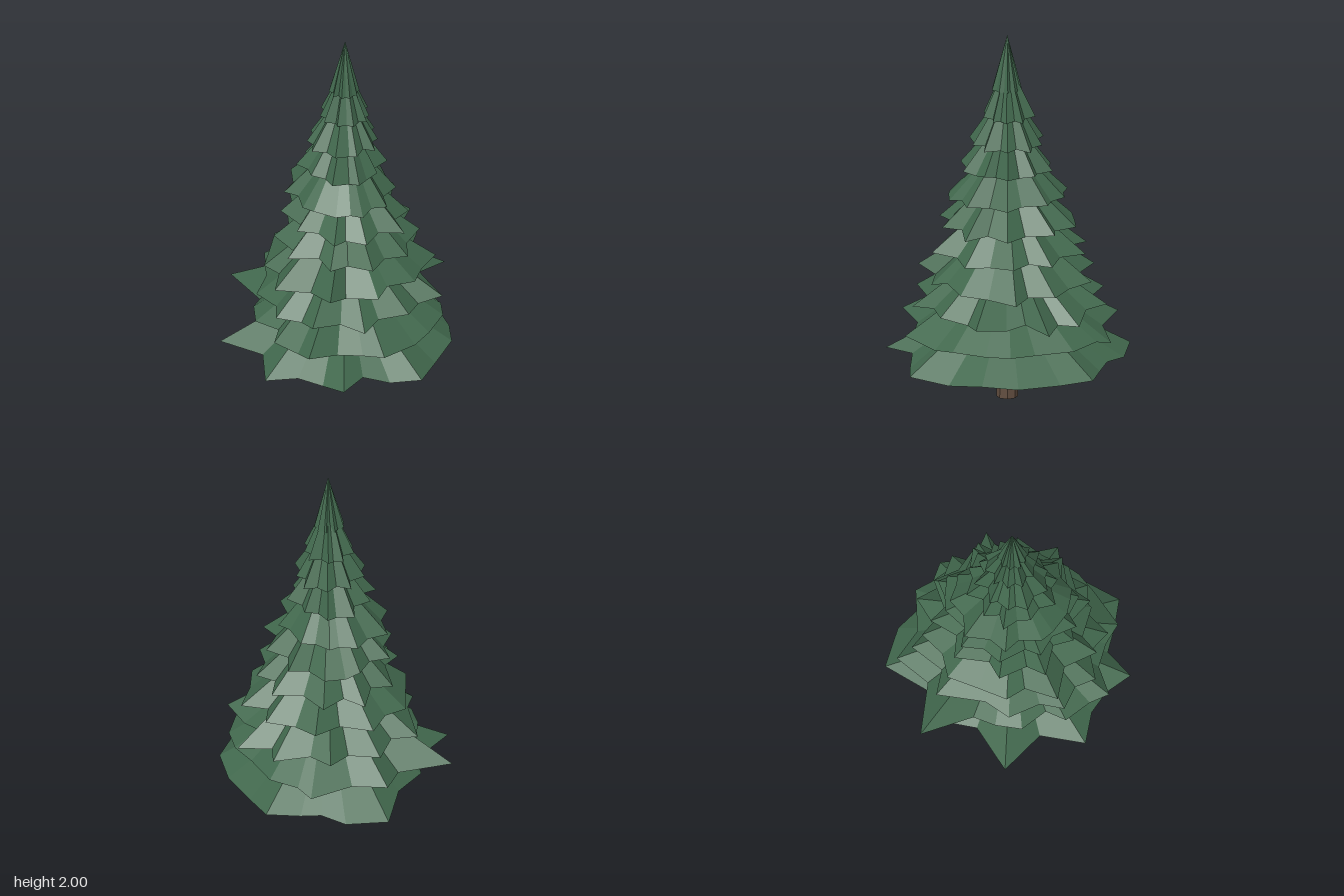
import * as THREE from 'three';

const CX = 0.055, CZ = 0.005;

// Small seeded random generator
function seeded(seed) {
  let s = seed;
  return () => (s = (s * 16807) % 2147483647) / 2147483647;
}

// Ragged outlines [x, z] of the three widest tiers
const LOW_TIERS = [
  [[0.495, -0.43], [0.54, -0.26], [0.6, -0.04], [0.6, 0.15], [0.5, 0.32], [0.415, 0.52], [0.25, 0.515],
    [0.11, 0.5], [0, 0.635], [-0.1, 0.52], [-0.225, 0.46], [-0.395, 0.45], [-0.39, 0.21], [-0.6, 0.055],
    [-0.39, -0.12], [-0.38, -0.25], [-0.22, -0.41], [-0.11, -0.638], [0.11, -0.6], [0.22, -0.51], [0.32, -0.47]],
  [[-0.51, -0.4], [-0.22, -0.4], [-0.12, -0.575], [0.05, -0.49], [0.28, -0.53], [0.33, -0.45], [0.45, -0.33],
    [0.5, -0.13], [0.555, 0], [0.555, 0.13], [0.47, 0.3], [0.39, 0.39], [0.22, 0.54], [0.11, 0.49],
    [-0.02, 0.47], [-0.175, 0.545], [-0.225, 0.45], [-0.34, 0.34], [-0.31, 0.23], [-0.42, 0.12],
    [-0.42, -0.02], [-0.38, -0.14]],
  [[0.59, -0.2], [0.45, -0.08], [0.5, 0.02], [0.55, 0.18], [0.42, 0.22], [0.36, 0.36], [0.2, 0.39], [0.12, 0.5],
    [0, 0.42], [-0.15, 0.47], [-0.2, 0.37], [-0.33, 0.33], [-0.32, 0.2], [-0.41, 0.05], [-0.35, -0.08],
    [-0.34, -0.34], [-0.2, -0.33], [-0.1, -0.5], [0.05, -0.41], [0.17, -0.51], [0.25, -0.4], [0.44, -0.36],
    [0.42, -0.25]],
];

// Reach of the upper tiers: [left x, right x, back z, front z]
const REACH = [
  [-0.37, 0.53, -0.45, 0.465], [-0.315, 0.445, -0.41, 0.4], [-0.28, 0.385, -0.35, 0.355],
  [-0.265, 0.32, -0.31, 0.31], [-0.2, 0.275, -0.23, 0.245], [-0.145, 0.225, -0.185, 0.2],
  [-0.075, 0.18, -0.14, 0.13], [-0.03, 0.13, -0.07, 0.085],
];

// Irregular star stretched so that it touches its reach on all four sides
function starOutline([x0, x1, z0, z1], rand) {
  const n = 20, pts = [];
  for (let i = 0; i < n; i++) {
    const a = ((i + (rand() - 0.5) * 0.5) / n) * Math.PI * 2;
    const r = (i % 2 ? 0.8 : 0.97) + (rand() - 0.5) * 0.18;
    pts.push([Math.cos(a) * r, Math.sin(a) * r]);
  }
  const fit = (k, lo, hi, c) => {
    const min = Math.min(...pts.map(p => p[k])), max = Math.max(...pts.map(p => p[k]));
    return v => c + (v < 0 ? (v / min) * (lo - c) : (v / max) * (hi - c));
  };
  const fx = fit(0, x0, x1, CX), fz = fit(1, z0, z1, CZ);
  return pts.map(([x, z]) => [fx(x), fz(z)]);
}

// Closed star cone: sloping boughs above, hollowed underside below
function tierGeometry(outline, baseY, apexY, ragged, rand) {
  const rim = outline.map(([x, z]) => [x, baseY + rand() * ragged, z]);
  const apex = [CX, apexY, CZ], under = [CX, baseY + ragged * 1.8, CZ];
  const pos = [];
  rim.forEach((p, i) => {
    const q = rim[(i + 1) % rim.length];
    pos.push(...p, ...apex, ...q, ...p, ...q, ...under);
  });
  const g = new THREE.BufferGeometry();
  g.setAttribute('position', new THREE.Float32BufferAttribute(pos, 3));
  g.computeVertexNormals();
  return g;
}

export function createModel() {
  const needles = new THREE.MeshStandardMaterial({ color: 0x41684d, flatShading: true });
  needles.name = 'needleGreen';
  const bark = new THREE.MeshStandardMaterial({ color: 0x614d3f, flatShading: true });
  bark.name = 'barkBrown';

  const tree = new THREE.Group();
  tree.name = 'firTree';

  // Trunk
  const trunk = new THREE.Mesh(new THREE.CylinderGeometry(0.05, 0.057, 0.4, 8), bark);
  trunk.name = 'trunk';
  trunk.position.set(CX, 0.2, CZ);
  tree.add(trunk);

  // Eleven overlapping tiers of boughs
  const rand = seeded(4271);
  const outlines = [...LOW_TIERS, ...REACH.map(r => starOutline(r, rand))];
  outlines.forEach((outline, i) => {
    const baseY = 0.22 + i * 0.1478;
    const apexY = i === 10 ? 2 : baseY + 0.4 - i * 0.01;
    const mesh = new THREE.Mesh(tierGeometry(outline, baseY, apexY, 0.045 - i * 0.004, rand), needles);
    mesh.name = i === 10 ? 'treeTop' : `boughTier${i + 1}`;
    tree.add(mesh);
  });
  return tree;
}
